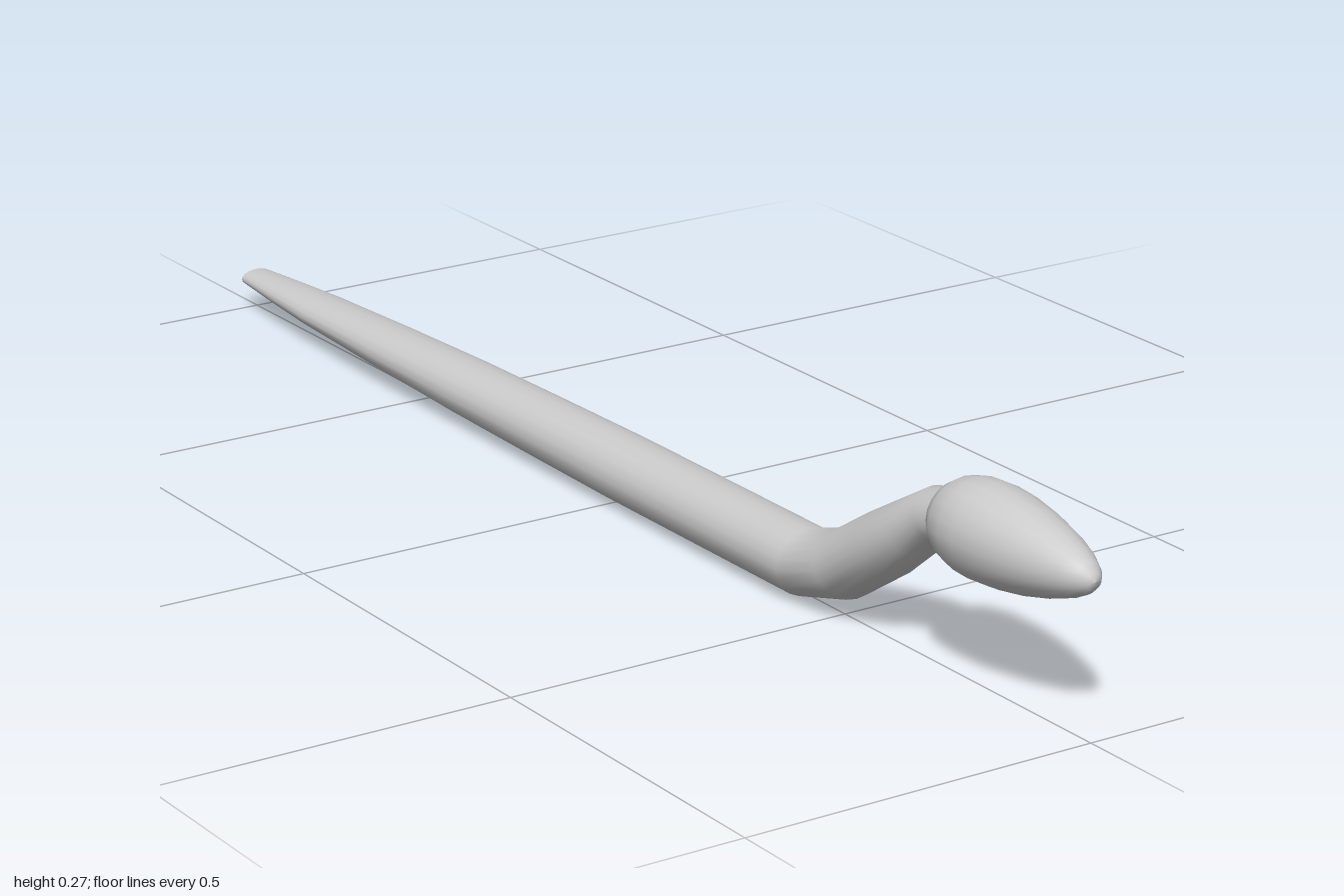
import * as THREE from 'three';

const SIDES = 20;
const material = new THREE.MeshStandardMaterial({ color: 0xcccccc });

// Cross-sections of the handle, back to front: z, y, half width, half height
const SECTIONS = [
  [-1, 0.05, 0.025, 0.012],
  [-0.9, 0.05, 0.034, 0.018],
  [-0.8, 0.05, 0.041, 0.023],
  [-0.6, 0.05, 0.047, 0.031],
  [-0.4, 0.05, 0.05, 0.038],
  [-0.2, 0.05, 0.051, 0.042],
  [0, 0.05, 0.052, 0.045],
  [0.42, 0.05, 0.052, 0.045],
  [0.505, 0.075, 0.052, 0.046],
  [0.59, 0.13, 0.052, 0.045],
  [0.645, 0.168, 0.046, 0.04],
  [0.69, 0.2, 0.037, 0.035],
  [0.75, 0.212, 0.037, 0.035],
];

// Elliptical loft whose sections stand square to the path
function loft(sections) {
  const pos = [], index = [], row = SIDES + 1;
  sections.forEach(([z, y, rx, ry], i) => {
    const a = sections[Math.max(i - 1, 0)];
    const b = sections[Math.min(i + 1, sections.length - 1)];
    const tilt = Math.atan2(b[1] - a[1], b[0] - a[0]);
    for (let j = 0; j < SIDES; j++) {
      const t = (j / SIDES) * Math.PI * 2;
      const h = Math.sin(t) * ry;
      pos.push(Math.cos(t) * rx, y + h * Math.cos(tilt), z - h * Math.sin(tilt));
    }
  });
  for (let i = 0; i < sections.length - 1; i++) {
    for (let j = 0; j < SIDES; j++) {
      const k = (j + 1) % SIDES;
      const a = i * SIDES + j, b = i * SIDES + k;
      index.push(a, b, a + SIDES, b, b + SIDES, a + SIDES);
    }
  }
  const g = new THREE.BufferGeometry();
  g.setAttribute('position', new THREE.Float32BufferAttribute(pos, 3));
  g.setIndex(index);
  g.computeVertexNormals();
  return g;
}

export function createModel() {
  const model = new THREE.Group();
  const add = (name, geometry) => {
    const mesh = new THREE.Mesh(geometry, material);
    mesh.name = name;
    model.add(mesh);
    return mesh;
  };

  // Tapered handle rising through a bend to the neck
  add('handle', loft(SECTIONS));

  // Flat oval face at the back end
  const cap = add('handleEnd', new THREE.CircleGeometry(1, SIDES));
  cap.scale.set(0.025, 0.012, 1);
  cap.rotation.y = Math.PI;
  cap.position.set(0, 0.05, -1);

  // Bud-shaped tip: radius and z, from neck to point
  const profile = [
    [0, 0.705], [0.025, 0.708], [0.043, 0.722], [0.055, 0.742], [0.062, 0.77], [0.0635, 0.8],
    [0.061, 0.84], [0.054, 0.885], [0.043, 0.93], [0.031, 0.965], [0.021, 0.985], [0.011, 0.997], [0, 1],
  ].map(([r, z]) => new THREE.Vector2(r, z));
  const tip = new THREE.LatheGeometry(profile, SIDES);
  tip.rotateX(Math.PI / 2);
  add('tip', tip).position.y = 0.21;

  return model;
}
